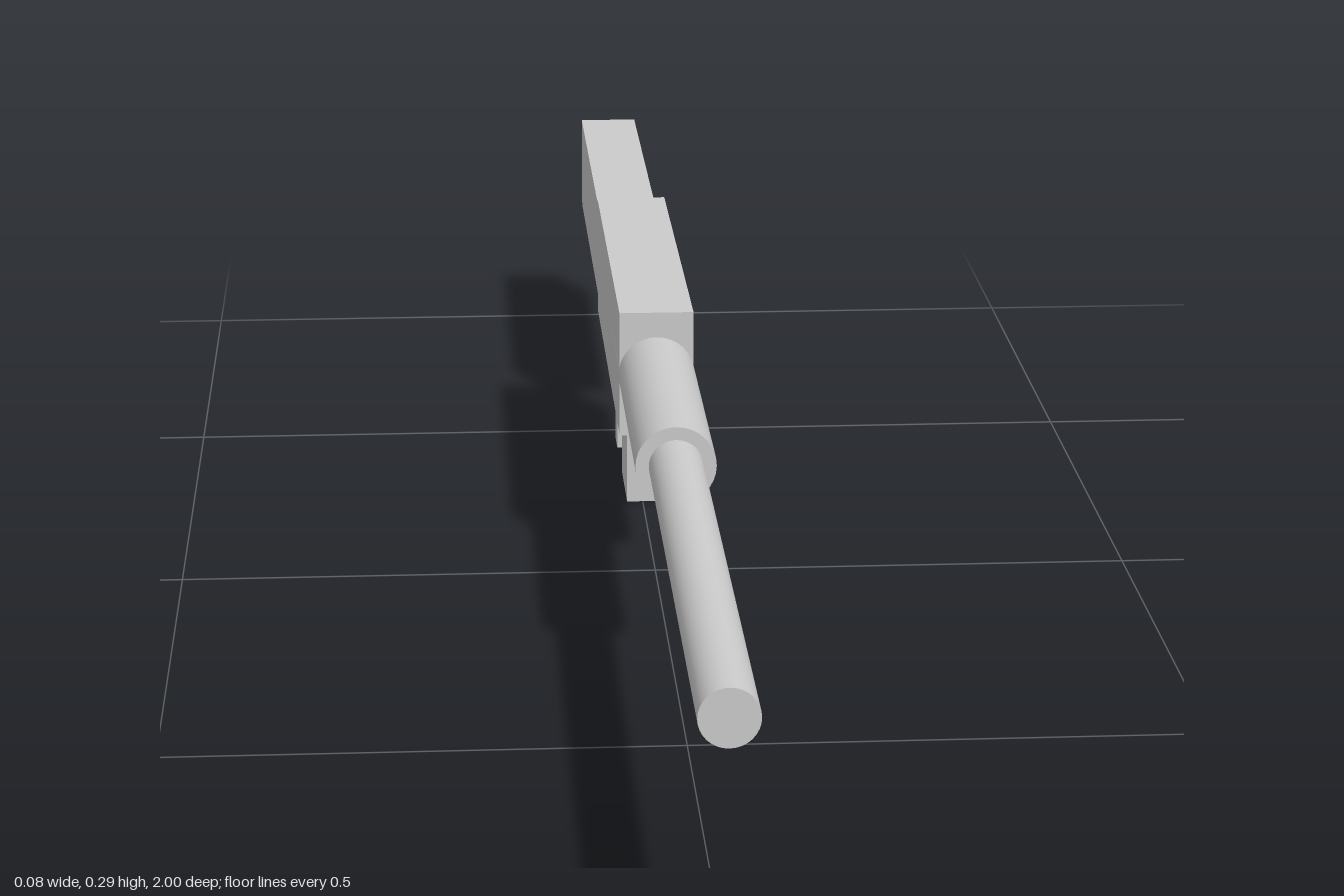
import * as THREE from 'three';

export function createModel() {
  const model = new THREE.Group();
  const material = new THREE.MeshStandardMaterial({ color: 0xcccccc });
  const boreY = 0.224;

  const add = (name, geometry, y, z) => {
    const mesh = new THREE.Mesh(geometry, material);
    mesh.name = name;
    mesh.position.set(0, y, z);
    model.add(mesh);
  };

  // Box given by its width and its y and z ranges
  const block = (name, width, y0, y1, z0, z1) =>
    add(name, new THREE.BoxGeometry(width, y1 - y0, z1 - z0), (y0 + y1) / 2, (z0 + z1) / 2);

  // Round bar lying along z on the bore line
  const tube = (name, radius, z0, z1) =>
    add(name, new THREE.CylinderGeometry(radius, radius, z1 - z0, 32).rotateX(Math.PI / 2), boreY, (z0 + z1) / 2);

  // Main body and the separate rear stock
  block('receiver', 0.077, 0.157, 0.29, -0.466, 0.021);
  block('stock', 0.067, 0.147, 0.258, -1, -0.556);

  // Parts hanging below the body
  block('magazine', 0.035, 0, 0.16, -0.343, -0.232);
  block('grip', 0.044, 0.024, 0.16, -0.398, -0.355);

  // Sleeve runs back into the body, barrel runs out of the sleeve
  tube('handguard', 0.0395, -0.117, 0.334);
  tube('barrel', 0.0265, 0.2, 1);

  return model;
}
